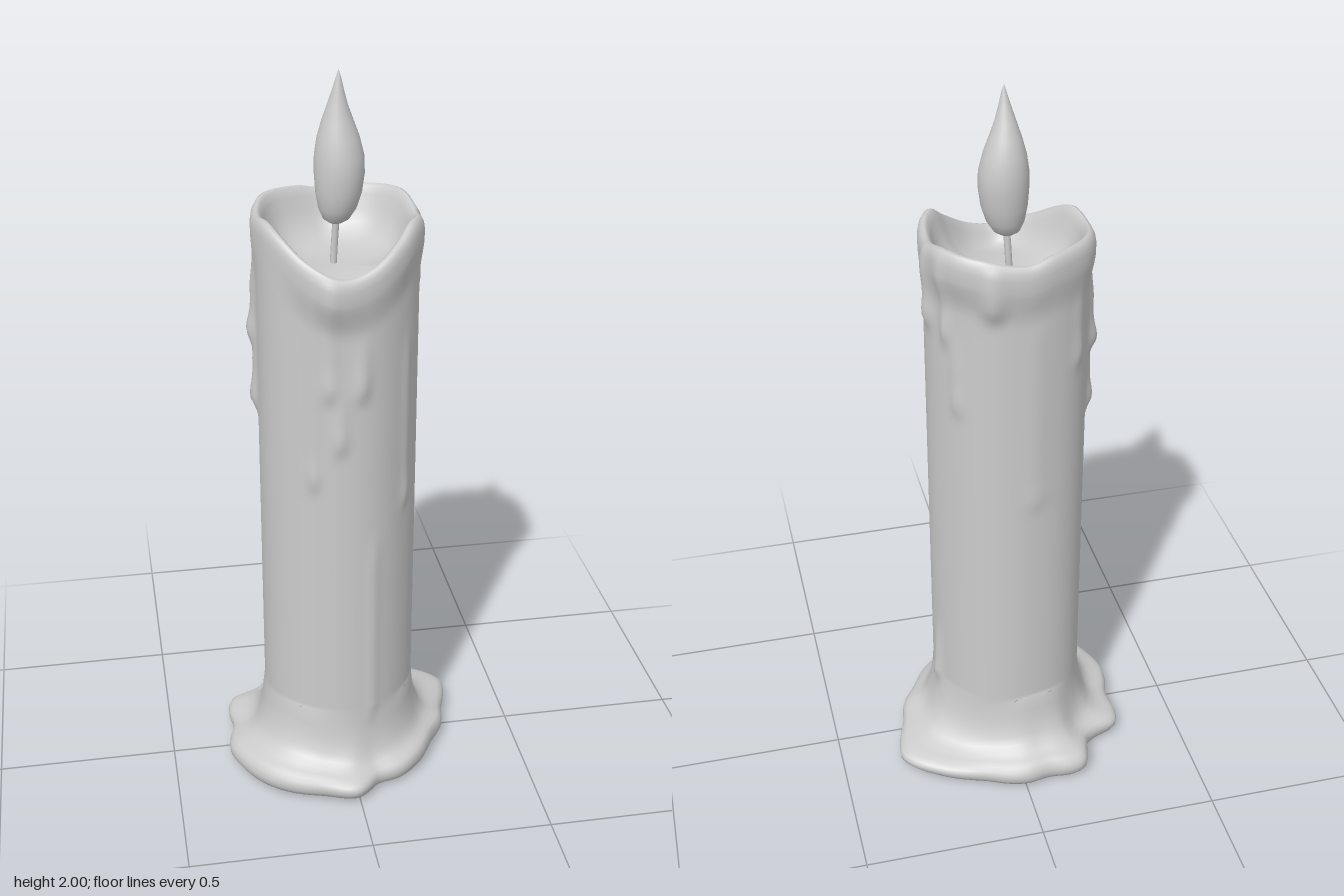
import * as THREE from 'three';

const CX = -0.015, BODY_R = 0.212, SEG = 128;
const TAU = Math.PI * 2, DEG = Math.PI / 180;
const mat = () => new THREE.MeshStandardMaterial({ color: 0xcccccc, roughness: 0.8 });
const smooth = (a, b, v) => THREE.MathUtils.smoothstep(v, a, b);

// Smooth periodic function of angle from [angle, value] knots
function periodic(knots) {
  const k = knots.map(([a, v]) => [((a % TAU) + TAU) % TAU, v]).sort((p, q) => p[0] - q[0]);
  const n = k.length;
  const at = (i) => {
    const w = Math.floor(i / n);
    return [k[i - w * n][0] + w * TAU, k[i - w * n][1]];
  };
  const slope = (i) => (at(i + 1)[1] - at(i - 1)[1]) / (at(i + 1)[0] - at(i - 1)[0]);
  return (angle) => {
    const a = ((angle % TAU) + TAU) % TAU;
    let i = -1;
    while (at(i + 1)[0] <= a) i++;
    const [a0, v0] = at(i), [a1, v1] = at(i + 1);
    const h = a1 - a0, t = (a - a0) / h, t2 = t * t, t3 = t2 * t;
    return v0 * (2 * t3 - 3 * t2 + 1) + v1 * (3 * t2 - 2 * t3)
      + h * (slope(i) * (t3 - 2 * t2 + t) + slope(i + 1) * (t3 - t2));
  };
}
const outline = (pts) => periodic(pts.map(([x, z]) => [Math.atan2(z, x - CX), Math.hypot(x - CX, z)]));

// Skin of closed rings: point(ringIndex, angle) returns [x, y, z]
function ringSkin(rings, seg, point) {
  const pos = [], idx = [];
  for (let i = 0; i < rings; i++)
    for (let j = 0; j < seg; j++) pos.push(...point(i, (j / seg) * TAU));
  for (let i = 0; i < rings - 1; i++)
    for (let j = 0; j < seg; j++) {
      const a = i * seg + j, b = i * seg + (j + 1) % seg;
      idx.push(a, a + seg, b, b, a + seg, b + seg);
    }
  const g = new THREE.BufferGeometry();
  g.setAttribute('position', new THREE.Float32BufferAttribute(pos, 3));
  g.setIndex(idx);
  g.computeVertexNormals();
  return g;
}

// Puddle edge and upper rim seen from above
const footR = outline([
  [0.335, -0.15], [0.31, -0.19], [0.24, -0.24], [0.12, -0.29], [0.05, -0.32], [0, -0.33],
  [-0.07, -0.32], [-0.14, -0.325], [-0.18, -0.31], [-0.195, -0.27], [-0.21, -0.22], [-0.25, -0.19],
  [-0.31, -0.165], [-0.325, -0.12], [-0.32, -0.04], [-0.335, 0.02], [-0.34, 0.07], [-0.315, 0.14],
  [-0.26, 0.22], [-0.19, 0.27], [-0.1, 0.3], [-0.01, 0.325], [0.03, 0.3], [0.06, 0.27],
  [0.13, 0.25], [0.2, 0.19], [0.25, 0.11], [0.29, 0.05], [0.305, -0.02], [0.33, -0.1]]);
const rimR = outline([
  [0.205, 0], [0.19, -0.11], [0.15, -0.17], [0.08, -0.213], [-0.03, -0.228], [-0.12, -0.2],
  [-0.2, -0.14], [-0.232, -0.04], [-0.22, 0.06], [-0.17, 0.15], [-0.1, 0.22], [-0.06, 0.24],
  [0.02, 0.23], [0.12, 0.18], [0.19, 0.1]]);
const rimY = periodic([
  [0, 1.625], [35, 1.645], [52, 1.605], [75, 1.555], [95, 1.538], [120, 1.572], [145, 1.62], [162, 1.642],
  [185, 1.635], [220, 1.65], [250, 1.645], [270, 1.63], [300, 1.645], [330, 1.65]].map(([a, v]) => [a * DEG, v]));

// Wax runs: [angle in degrees, bottom y, top y, height, width in radians]
const drips = [
  [116, 0.94, 1.45, 0.008, 0.08], [97, 1.05, 1.2, 0.009, 0.09], [104, 1.2, 1.5, 0.009, 0.1],
  [188, 1.09, 1.28, 0.017, 0.09], [191, 1.28, 1.48, 0.02, 0.11], [352, 1.4, 1.6, 0.014, 0.1],
  [350, 0.2, 0.36, 0.012, 0.09], [72, 0.15, 0.75, 0.006, 0.08], [292, 1.48, 1.62, 0.014, 0.13],
  [330, 1.38, 1.6, 0.01, 0.08], [40, 0.85, 1.3, 0.006, 0.08], [82, 1.2, 1.32, 0.009, 0.1],
  [262, 0.9, 1.45, 0.004, 0.15], [225, 1.3, 1.5, 0.007, 0.1], [320, 1.18, 1.35, 0.007, 0.1]];
function dripBulge(a, y) {
  let s = 0;
  for (const [deg, y0, y1, h, w] of drips) {
    const d = Math.atan2(Math.sin(a - deg * DEG), Math.cos(a - deg * DEG)) / w;
    const bead = 0.75 + 0.5 * Math.exp(-(((y - y0 - 0.04) / 0.04) ** 2));
    s += h * bead * Math.exp(-d * d) * smooth(y0 - 0.03, y0 + 0.03, y) * (1 - smooth(y1 - 0.05, y1 + 0.08, y));
  }
  return s;
}

// Puddle: [fraction from body radius to puddle edge, y]
const foot = [[-1.8, 0], [-0.5, 0], [0.3, 0.002], [0.75, 0.006], [0.92, 0.014], [0.99, 0.028], [1, 0.042],
  [0.96, 0.056], [0.86, 0.065], [0.7, 0.072], [0.52, 0.08], [0.36, 0.094], [0.24, 0.115], [0.14, 0.145],
  [0.07, 0.18], [0.03, 0.22]];
// Rim lip and bowl: [fraction of rim radius, drop from rim height, blend to a flat floor]
const lip = [[1, -0.035, 0], [0.985, -0.016, 0], [0.955, -0.003, 0], [0.92, 0, 0], [0.88, -0.006, 0],
  [0.84, -0.02, 0.05], [0.79, -0.04, 0.2], [0.72, -0.055, 0.42], [0.62, -0.065, 0.66], [0.5, -0.07, 0.84],
  [0.35, -0.07, 0.95], [0.18, -0.07, 1], [0.002, -0.07, 1]];
const BODY_ROWS = 80, FLOOR = 1.5;

function waxPoint(i, a) {
  let r, y;
  if (i <= foot.length) {
    const [f, fy] = foot[Math.max(i - 1, 0)];
    const edge = footR(a);
    r = i === 0 ? 0.0005 : f < 0 ? BODY_R * (1 + f / 2) : BODY_R + (edge - BODY_R) * f;
    // broad lobes carry more wax up the side
    y = fy * (1 + 0.12 * Math.sin(3 * a + 0.5) * smooth(0.02, 0.06, fy));
  } else if (i <= foot.length + BODY_ROWS) {
    const t = (i - foot.length) / (BODY_ROWS + 1);
    const top = rimY(a) - 0.05;
    y = 0.22 + (top - 0.22) * t;
    const k = smooth(top - 0.12, top, y);
    r = BODY_R + (rimR(a) - BODY_R) * k + 0.002 * Math.sin(5 * a + 1) * (1 - k) + dripBulge(a, y);
  } else {
    const [f, d, k] = lip[i - foot.length - BODY_ROWS - 1];
    r = rimR(a) * f + dripBulge(a, rimY(a) + d) * smooth(0.9, 1, f);
    y = (rimY(a) + d) * (1 - k) + FLOOR * k;
  }
  return [CX + r * Math.cos(a), y, r * Math.sin(a)];
}

// Flame: [y, radius, x centre, z centre]
const flameRings = [[1.608, 0.0005, -0.018, 0.008], [1.611, 0.018, -0.018, 0.008], [1.622, 0.034, -0.017, 0.008],
  [1.65, 0.049, -0.014, 0.008], [1.69, 0.059, -0.011, 0.008], [1.74, 0.064, -0.009, 0.007], [1.785, 0.063, -0.009, 0.005],
  [1.83, 0.054, -0.011, 0.004], [1.87, 0.041, -0.013, 0.005], [1.91, 0.027, -0.014, 0.008],
  [1.95, 0.015, -0.013, 0.012], [1.98, 0.007, -0.012, 0.014], [2.0, 0.0005, -0.012, 0.015]];

export function createModel() {
  const model = new THREE.Group();
  model.name = 'candle';
  const add = (name, geometry) => {
    const mesh = new THREE.Mesh(geometry, mat());
    mesh.name = name;
    model.add(mesh);
  };

  // Melted wax: underside, puddle, column, rim and bowl in one skin
  add('waxBody', ringSkin(1 + foot.length + BODY_ROWS + lip.length, SEG, waxPoint));

  // Wick from the bowl floor into the flame
  const wickPath = new THREE.CatmullRomCurve3([
    new THREE.Vector3(-0.025, 1.48, 0.004), new THREE.Vector3(-0.021, 1.55, 0.003), new THREE.Vector3(-0.016, 1.64, 0.008)]);
  add('wick', new THREE.TubeGeometry(wickPath, 10, 0.009, 10));

  // Teardrop flame
  add('flame', ringSkin(flameRings.length, 28, (i, a) => {
    const [y, r, x, z] = flameRings[i];
    return [x + r * Math.cos(a), y, z + r * Math.sin(a)];
  }));
  return model;
}
